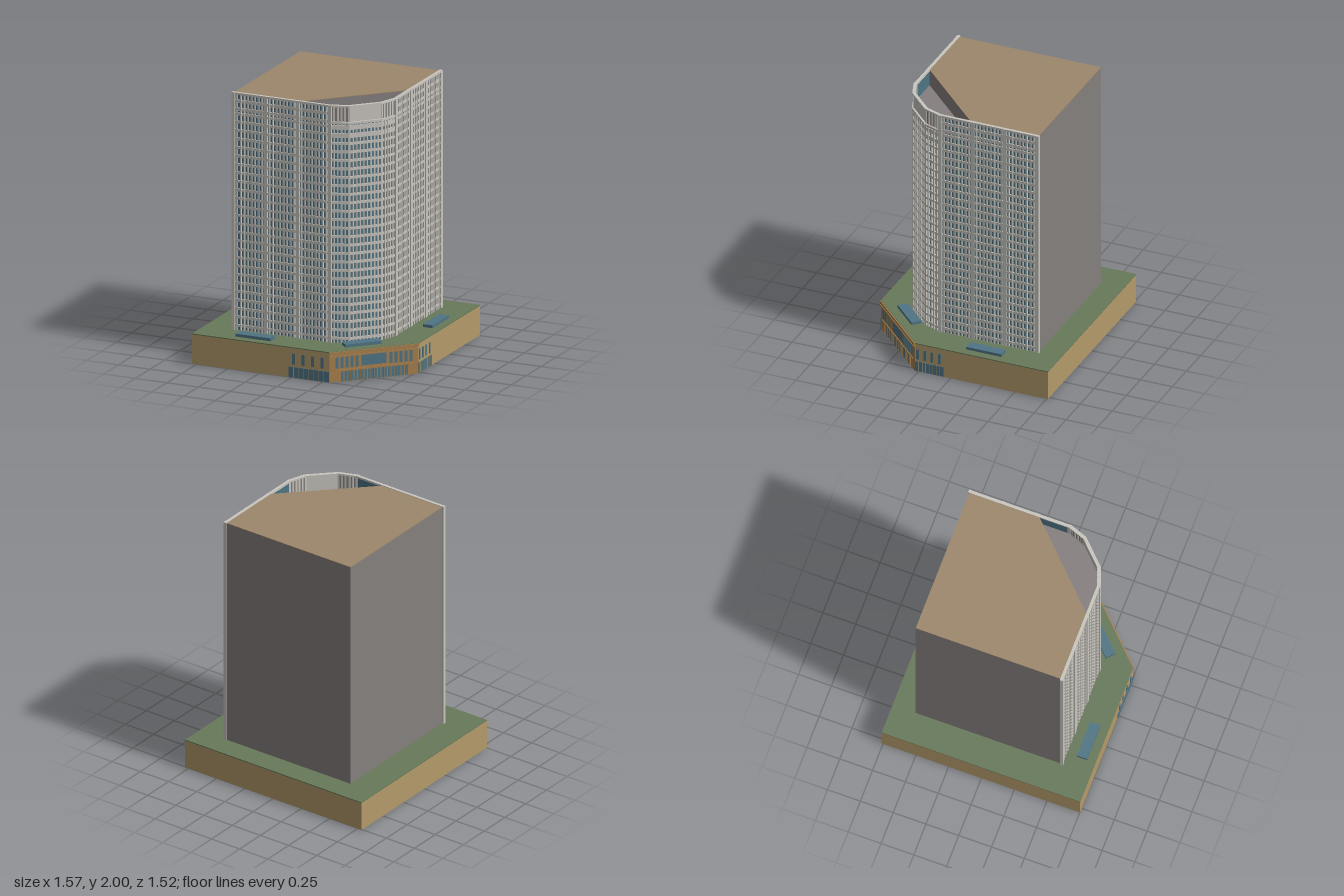
import * as THREE from 'three';
import { mergeGeometries } from 'three/addons/utils/BufferGeometryUtils.js';

export function createModel() {
  const model = new THREE.Group();
  const mat = (name, color) => {
    const m = new THREE.MeshStandardMaterial({ color });
    m.name = name;
    return m;
  };
  const glass = mat('blue glass', 0x4f7485);
  const stone = mat('pale stone', 0xc9c6bf);
  const gray = mat('gray wall', 0x85807e);
  const tan = mat('tan podium', 0xb39a6b);
  const brown = mat('brown cladding', 0xa8804e);
  const roofTan = mat('roof tan', 0x9c876c);
  const green = mat('terrace green', 0x67795a);

  const add = (name, geometry, material) => {
    const mesh = new THREE.Mesh(geometry, material);
    mesh.name = name;
    model.add(mesh);
    return mesh;
  };

  // Upright prism from a plan outline of [x, z] points
  const prism = (name, plan, y0, y1, material) => {
    const shape = new THREE.Shape(plan.map(([x, z]) => new THREE.Vector2(x, -z)));
    const g = new THREE.ExtrudeGeometry(shape, { depth: y1 - y0, bevelEnabled: false });
    g.rotateX(-Math.PI / 2).translate(0, y0, 0);
    return add(name, g, material);
  };

  // Boxes are collected by part name, then merged into one mesh each
  const parts = new Map();
  const collect = (name, material, g) => {
    if (!parts.has(name)) parts.set(name, { material, list: [] });
    parts.get(name).list.push(g);
  };

  // Wall frame from a to b: u runs along the wall, d points outward
  const wall = (a, b) => {
    const length = Math.hypot(b[0] - a[0], b[1] - a[1]);
    const ux = (b[0] - a[0]) / length, uz = (b[1] - a[1]) / length;
    const m = new THREE.Matrix4().makeBasis(
      new THREE.Vector3(ux, 0, uz), new THREE.Vector3(0, 1, 0), new THREE.Vector3(-uz, 0, ux));
    m.setPosition(a[0], 0, a[1]);
    const box = (name, material, u0, u1, y0, y1, d0, d1) => {
      const g = new THREE.BoxGeometry(u1 - u0, y1 - y0, d1 - d0);
      g.translate((u0 + u1) / 2, (y0 + y1) / 2, (d0 + d1) / 2).applyMatrix4(m);
      collect(name, material, g);
    };
    return { length, box };
  };

  // Podium with a cut corner and a planted terrace
  const podium = [[-0.785, -0.76], [0.778, -0.76], [0.778, 0.275], [0.3, 0.753], [-0.785, 0.753]];
  prism('podium', podium, 0, 0.22, tan);
  prism('terrace', podium, 0.22, 0.227, green);

  // Tower core, with a recessed terrace behind the crown
  prism('towerCore', [[-0.56, -0.585], [0.54, -0.585], [0.54, 0.18], [0.495, 0.305],
    [0.325, 0.475], [0.2, 0.52], [-0.56, 0.52]], 0.227, 1.87, gray);
  const upper = [[-0.56, -0.585], [0.54, -0.585], [0.54, -0.05], [-0.03, 0.52], [-0.56, 0.52]];
  prism('upperCore', upper, 1.87, 1.99, gray);
  prism('towerRoof', upper, 1.99, 1.996, roofTan);

  const floorStep = 0.0633;
  const floors = Array.from({ length: 25 }, (_, k) => 0.26 + k * floorStep);

  // Two flat facades: three bays of nine windows each
  for (const [a, b] of [[[-0.56, 0.52], [0.2, 0.52]], [[0.54, 0.18], [0.54, -0.58]]]) {
    const { length, box } = wall(a, b);
    box('facadeGlass', glass, 0, length, 0.227, 1.995, 0, 0.006);
    for (const y of [...floors, 1.84]) {
      box('facadeSpandrels', stone, 0, length, y - 0.009, y + 0.009, 0.004, 0.015);
    }
    for (const y of [1.875, 1.935]) {
      box('facadeSpandrels', stone, 0, length, y - 0.011, y + 0.011, 0.004, 0.015);
    }
    box('facadeCoping', stone, -0.005, length + 0.005, 1.985, 2, -0.002, 0.02);
    const bay = length / 3, pitch = bay / 9;
    for (let i = 0; i <= 27; i++) {
      const u = i * pitch;
      if (i % 9 === 0) box('facadePiers', stone, u - 0.0135, u + 0.0135, 0.227, 2, -0.001, 0.022);
      else box('facadeMullions', stone, u - 0.0055, u + 0.0055, 0.227, 1.99, 0.004, 0.017);
    }
  }

  // Three-sided corner bay with a solid crown
  const corner = [[0.2, 0.52], [0.325, 0.475], [0.495, 0.305], [0.54, 0.18]];
  for (let s = 0; s < 3; s++) {
    const { length, box } = wall(corner[s], corner[s + 1]);
    const e = 0.004;
    box('cornerGlass', glass, -0.001, length + 0.001, 0.227, 1.87, 0, 0.006);
    for (const y of floors.slice(0, 24)) {
      box('cornerSpandrels', stone, -e, length + e, y - 0.009, y + 0.009, 0.004, 0.018);
    }
    for (const y of [1.775, 1.835]) {
      box('cornerSpandrels', stone, -e, length + e, y - 0.016, y + 0.016, 0.004, 0.018);
    }
    const n = s === 1 ? 9 : 5;
    for (let i = 0; i <= n; i++) {
      const u = i * length / n;
      box('cornerMullions', stone, u - 0.005, u + 0.005, 0.227, 1.87, 0.002, 0.02);
      if (s !== 1) box('crownRibs', stone, u - 0.007, u + 0.007, 1.87, 1.99, -0.004, 0.015);
    }
    box('crownPanels', s === 1 ? stone : gray, -e, length + e, 1.87, 1.99, 0, 0.01);
    box('crownLedges', stone, -e, length + e, 1.862, 1.878, 0, 0.024);
    box('crownLedges', stone, -e, length + e, 1.988, 2, -0.003, 0.022);
  }

  // Podium side entrances: shopfront band and four small windows
  const sides = [
    { a: [-0.03, 0.753], b: [0.3, 0.753], u0: 0.01, windows: [0.05, 0.125, 0.2, 0.275] },
    { a: [0.778, 0.275], b: [0.778, 0.04], u0: 0, windows: [0.02, 0.075, 0.13, 0.188] },
  ];
  for (const { a, b, u0, windows } of sides) {
    const { length, box } = wall(a, b);
    const end = u0 ? length : length - 0.015;
    box('shopfrontGlass', glass, u0, end, 0.002, 0.08, 0, 0.004);
    for (let i = 1; i < 8; i++) {
      const u = u0 + (end - u0) * i / 8;
      box('shopfrontBars', tan, u - 0.0015, u + 0.0015, 0.002, 0.08, 0, 0.006);
    }
    for (const u of windows) box('podiumWindows', glass, u - 0.011, u + 0.011, 0.1, 0.18, 0, 0.004);
  }

  // Main entrance on the cut corner
  {
    const { length, box } = wall([0.3, 0.753], [0.778, 0.275]);
    const mid = length / 2;
    box('entranceCladding', brown, 0, length, 0, 0.222, 0, 0.003);
    box('entranceCornice', brown, -0.002, length + 0.002, 0.204, 0.224, 0, 0.009);
    box('entranceCornice', brown, 0, length, 0.186, 0.194, 0, 0.008);
    box('entranceCornice', brown, 0.04, length - 0.04, 0.08, 0.09, 0, 0.009);
    box('entranceGlass', glass, mid - 0.255, mid + 0.255, 0.002, 0.075, 0, 0.005);
    for (let i = 0; i <= 20; i++) {
      const u = mid - 0.255 + i * 0.0255;
      box('entranceBars', brown, u - 0.003, u + 0.003, 0, 0.08, 0, 0.008);
    }
    box('entranceWindow', glass, mid - 0.095, mid + 0.095, 0.105, 0.183, 0, 0.005);
    for (const side of [-1, 1]) {
      for (let i = 0; i < 5; i++) {
        const u = mid + side * (0.13 + i * 0.038);
        box('entranceSideWindows', glass, u - 0.0115, u + 0.0115, 0.1, 0.182, 0, 0.005);
      }
    }
  }

  for (const [name, { material, list }] of parts) add(name, mergeGeometries(list), material);
  // Crown side panels are gray, the middle one pale
  const crown = model.getObjectByName('crownPanels');
  crown.geometry.clearGroups();
  [gray, stone, gray].forEach((_, i) => crown.geometry.addGroup(i * 36, 36, i));
  crown.material = [gray, stone, gray];

  // Terrace skylights
  for (const [x, z, angle] of [[-0.333, 0.65, 0], [0.425, 0.475, Math.PI / 4], [0.678, -0.233, Math.PI / 2]]) {
    const light = add('skylight', new THREE.BoxGeometry(0.275, 0.022, 0.077), glass);
    light.position.set(x, 0.237, z);
    light.rotation.y = angle;
  }
  return model;
}
